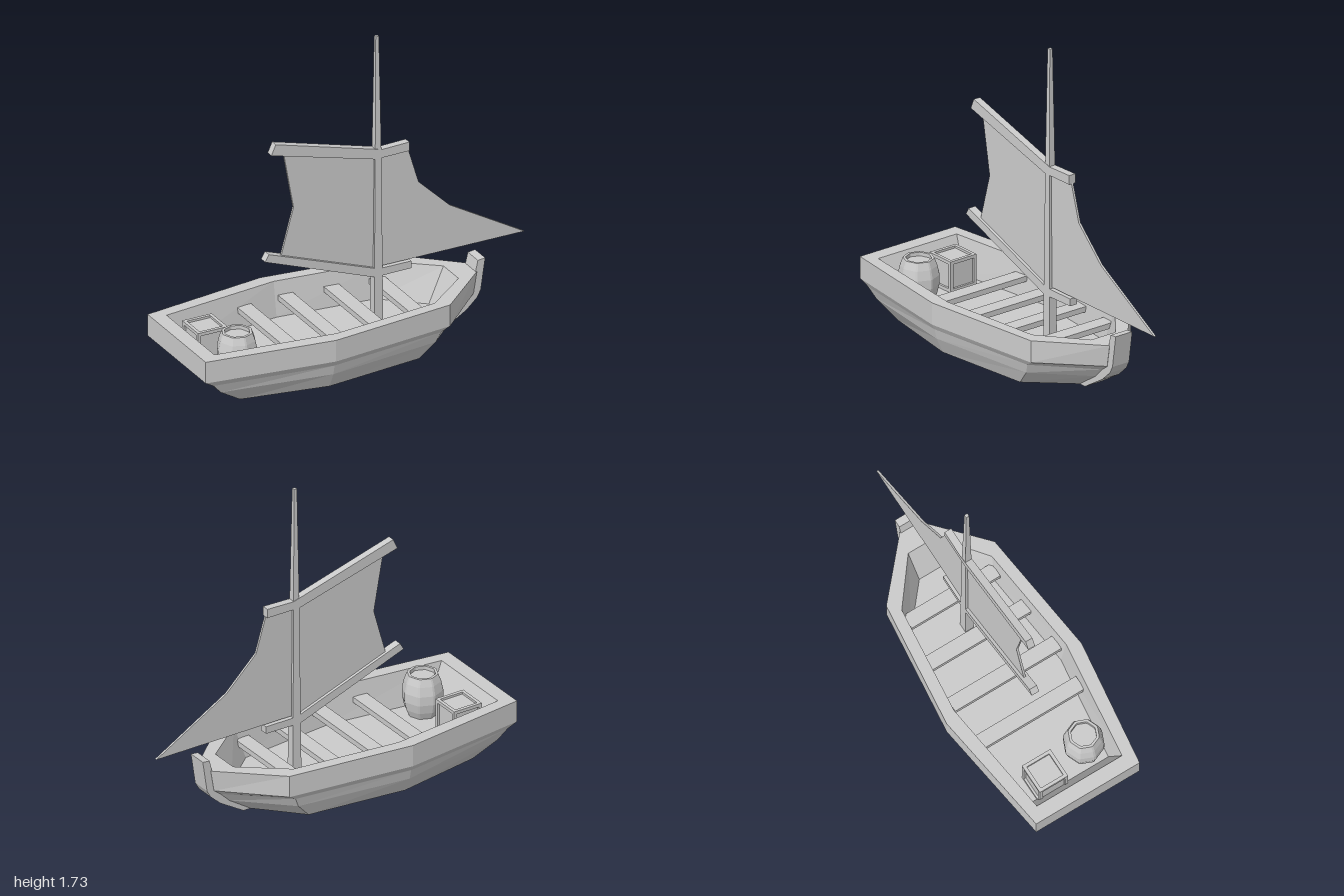
import * as THREE from 'three';

const material = new THREE.MeshStandardMaterial({ color: 0xcccccc, flatShading: true });
const FLOOR = 0.1;

function addMesh(parent, name, geometry, x = 0, y = 0, z = 0) {
  const mesh = new THREE.Mesh(geometry, material);
  mesh.name = name;
  mesh.position.set(x, y, z);
  parent.add(mesh);
  return mesh;
}

// Flat plate from an outline in x and y, centred on z = 0
function plate(points, thickness) {
  const shape = new THREE.Shape(points.map(([x, y]) => new THREE.Vector2(x, y)));
  const geometry = new THREE.ExtrudeGeometry(shape, { depth: thickness, bevelEnabled: false });
  return geometry.translate(0, 0, -thickness / 2);
}

// Skin over mirrored rings; each ring is [y, [x, halfWidth] from stern to bow]
function loft(rings) {
  const positions = [], index = [];
  for (const [y, side] of rings) {
    for (const [x, z] of side) positions.push(x, y, z);
    for (const [x, z] of [...side].reverse()) positions.push(x, y, -z);
  }
  const n = rings[0][1].length * 2;
  for (let r = 0; r < rings.length - 1; r++) {
    for (let i = 0; i < n; i++) {
      const a = r * n + i, b = r * n + (i + 1) % n;
      index.push(a, b, b + n, a, b + n, a + n);
    }
  }
  const last = (rings.length - 1) * n;
  for (let i = 1; i < n - 1; i++) {
    index.push(0, i + 1, i);
    index.push(last, last + i, last + i + 1);
  }
  const geometry = new THREE.BufferGeometry();
  geometry.setAttribute('position', new THREE.Float32BufferAttribute(positions, 3));
  geometry.setIndex(index);
  const flat = geometry.toNonIndexed();
  flat.computeVertexNormals();
  return flat;
}

// Eight-sided barrel with narrow strips between wide staves and a sunken lid
function barrelGeometry() {
  const profile = [[0, FLOOR], [0.078, FLOOR], [0.095, 0.14], [0.106, 0.19], [0.106, 0.24],
    [0.095, 0.29], [0.08, 0.33], [0.066, 0.33], [0.066, 0.31], [0, 0.31]];
  const geometry = new THREE.LatheGeometry(profile.map(([r, y]) => new THREE.Vector2(r, y)), 16);
  const p = geometry.attributes.position;
  const step = Math.PI / 8;
  for (let i = 0; i < p.count; i++) {
    const r = Math.hypot(p.getX(i), p.getZ(i));
    const k = Math.round(Math.atan2(p.getX(i), p.getZ(i)) / step);
    const angle = k * step + (k % 2 === 0 ? 0.14 : -0.14) - step / 2;
    p.setX(i, r * Math.sin(angle));
    p.setZ(i, r * Math.cos(angle));
  }
  geometry.computeVertexNormals();
  return geometry;
}

// Crate: sunken box framed by twelve beams
function createCrate(size) {
  const crate = new THREE.Group();
  crate.name = 'crate';
  const beam = 0.018, offset = (size - beam) / 2;
  addMesh(crate, 'cratePanels', new THREE.BoxGeometry(size - 0.024, size - 0.024, size - 0.024));
  for (const a of [-offset, offset]) {
    for (const b of [-offset, offset]) {
      addMesh(crate, 'crateBeam', new THREE.BoxGeometry(size, beam, beam), 0, a, b);
      addMesh(crate, 'crateBeam', new THREE.BoxGeometry(beam, size, beam), a, 0, b);
      addMesh(crate, 'crateBeam', new THREE.BoxGeometry(beam, beam, size), a, b, 0);
    }
  }
  return crate;
}

export function createModel() {
  const boat = new THREE.Group();
  boat.name = 'sailboat';

  // Hull: outside from keel to rim, then inside down to the floor
  addMesh(boat, 'hull', loft([
    [0, [[-0.77, 0.25], [-0.3, 0.335], [0.25, 0.275], [0.46, 0.05]]],
    [0.085, [[-0.9, 0.285], [-0.3, 0.375], [0.33, 0.3], [0.59, 0.05]]],
    [0.14, [[-0.95, 0.3], [-0.3, 0.388], [0.355, 0.312], [0.645, 0.05]]],
    [0.17, [[-1, 0.31], [-0.3, 0.405], [0.4, 0.325], [0.68, 0.055]]],
    [0.29, [[-1, 0.31], [-0.3, 0.405], [0.4, 0.325], [0.7, 0.055]]],
    [0.29, [[-0.92, 0.255], [-0.26, 0.335], [0.34, 0.27], [0.58, 0.08]]],
    [FLOOR, [[-0.83, 0.23], [-0.26, 0.305], [0.28, 0.25], [0.49, 0.07]]],
  ]));

  // Curved stem post at the bow
  addMesh(boat, 'stemPost', plate([
    [0.44, 0], [0.5, 0], [0.64, 0.085], [0.7, 0.14], [0.722, 0.18], [0.748, 0.355],
    [0.706, 0.35], [0.69, 0.28], [0.67, 0.17], [0.57, 0.08],
  ], 0.108));

  // Rowing benches
  for (const [x, half] of [[-0.45, 0.3], [-0.203, 0.318], [0.047, 0.295], [0.293, 0.265]]) {
    addMesh(boat, 'bench', new THREE.BoxGeometry(0.082, 0.03, half * 2), x, 0.2, 0);
  }

  // Mast: square and tapering, thinner above the upper yard
  addMesh(boat, 'mast', loft([
    [FLOOR, [[0.125, 0.024], [0.177, 0.024]]],
    [1.09, [[0.134, 0.018], [0.169, 0.018]]],
    [1.73, [[0.142, 0.009], [0.16, 0.009]]],
  ]));

  // Yards and sails
  addMesh(boat, 'upperYard', plate([
    [-0.465, 1.205], [0.135, 1.043], [0.33, 1.045], [0.33, 1.095], [0.17, 1.09], [-0.44, 1.262],
  ], 0.04));
  addMesh(boat, 'lowerYard', plate([
    [-0.502, 0.612], [0.13, 0.377], [0.34, 0.38], [0.34, 0.42], [0.15, 0.42], [-0.48, 0.65],
  ], 0.044));
  addMesh(boat, 'mainSail', plate([
    [-0.405, 0.605], [0.15, 0.4], [0.15, 1.06], [-0.388, 1.2], [-0.33, 0.875],
  ], 0.012));
  addMesh(boat, 'foreSail', plate([
    [0.15, 0.425], [1, 0.425], [0.57, 0.675], [0.39, 0.85], [0.33, 1.05], [0.15, 1.06],
  ], 0.012));

  // Cargo at the stern
  addMesh(boat, 'barrel', barrelGeometry(), -0.73, 0, 0.145);
  const crate = createCrate(0.17);
  crate.position.set(-0.775, FLOOR + 0.085, -0.115);
  boat.add(crate);

  return boat;
}
